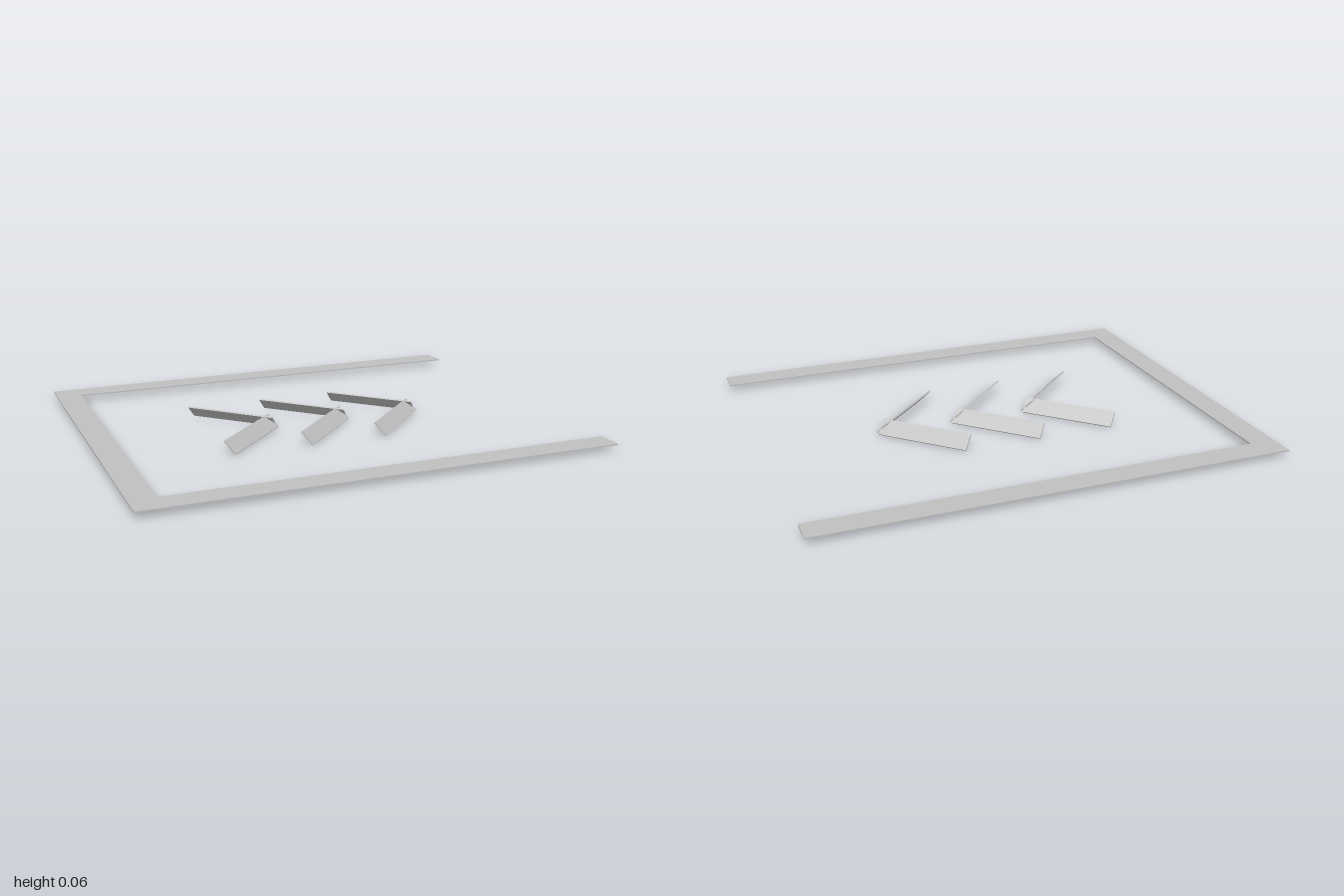
import * as THREE from 'three';

export function createModel() {
  const model = new THREE.Group();
  const grey = new THREE.MeshStandardMaterial({ color: 0xc0c0c0 });
  grey.name = 'light grey';

  // Flat three-sided border, open towards +x
  const X = 1, Z = 0.83, W = 0.11, T = 0.006, MID = 0.0285;
  const outline = new THREE.Shape([
    [-X, -Z], [X, -Z], [X, -Z + W], [-X + W, -Z + W],
    [-X + W, Z - W], [X, Z - W], [X, Z], [-X, Z],
  ].map(([x, y]) => new THREE.Vector2(x, y)));
  const borderGeometry = new THREE.ExtrudeGeometry(outline, { depth: T, bevelEnabled: false });
  borderGeometry.rotateX(-Math.PI / 2).translate(0, MID - T / 2, 0);
  const border = new THREE.Mesh(borderGeometry, grey);
  border.name = 'border';
  model.add(border);

  // Three chevrons, each made of two tilted slats crossing at the tip
  const slatGeometry = new THREE.BoxGeometry(0.41, 0.007, 0.073);
  for (let i = -1; i <= 1; i++) {
    const chevron = new THREE.Group();
    chevron.name = 'chevron';
    chevron.position.set(i * 0.334, MID, 0);
    for (const side of [1, -1]) {
      const slat = new THREE.Mesh(slatGeometry, grey);
      slat.name = side > 0 ? 'frontSlat' : 'backSlat';
      slat.position.z = side * 0.137;
      slat.rotation.set(Math.PI / 4, Math.PI / 2 - side * Math.PI / 4, 0, 'YXZ');
      chevron.add(slat);
    }
    model.add(chevron);
  }
  return model;
}
